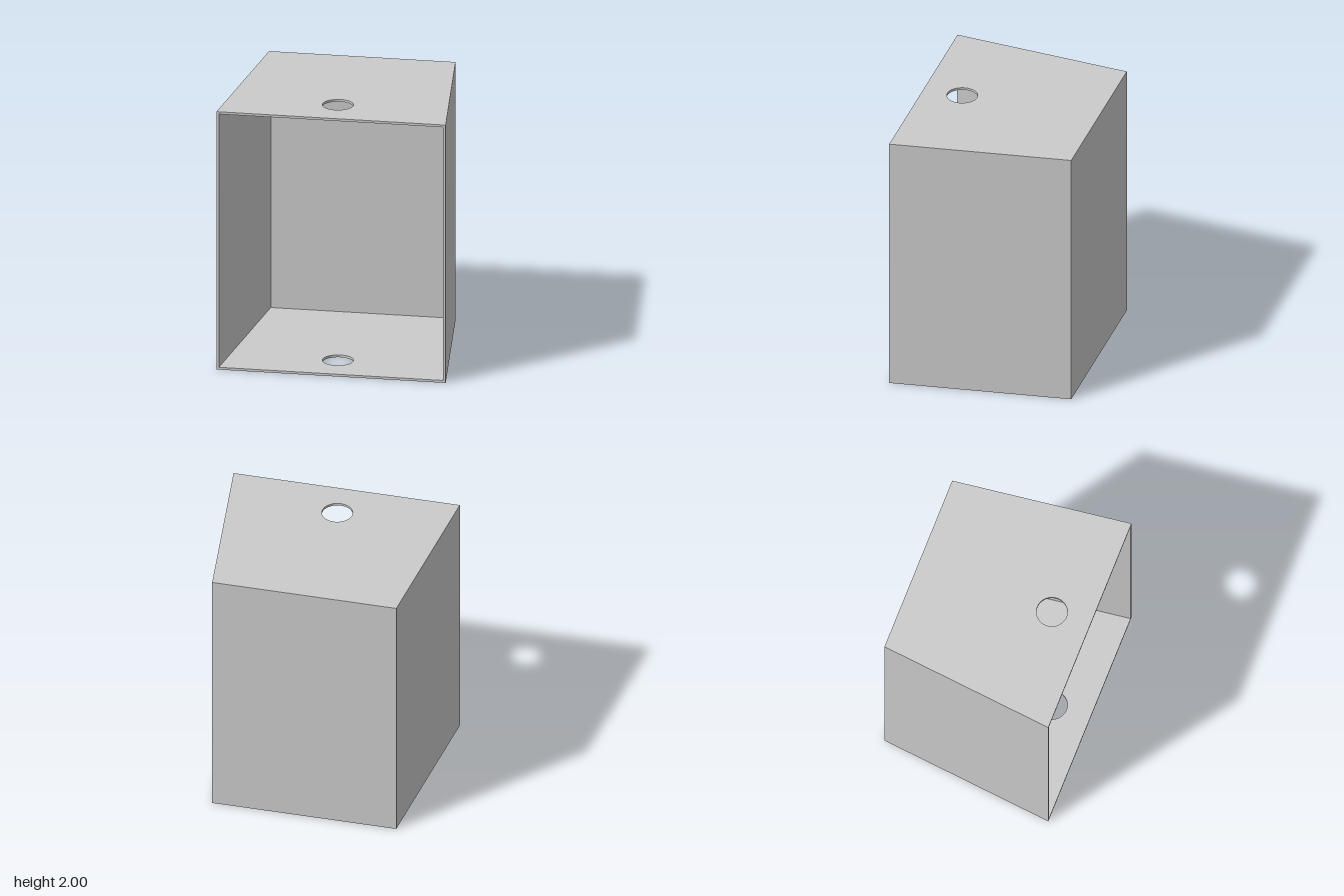
import * as THREE from 'three';

const HEIGHT = 2, WALL = 0.018;
const FRONT_Z = 0.67, BACK_Z = -0.67;
const FRONT_X = 0.848, BACK_X = 0.69;
const HOLE_Z = 0.373, HOLE_R = 0.113;

// Half width of the tapered plan at depth z
const halfWidth = (z) =>
  THREE.MathUtils.mapLinear(z, BACK_Z, FRONT_Z, BACK_X, FRONT_X);

// Extrude a plan (x, z) upwards from y = bottom
function slab(name, plan, bottom, height, material) {
  const geometry = new THREE.ExtrudeGeometry(plan, {
    depth: height, bevelEnabled: false, curveSegments: 32,
  });
  geometry.rotateX(Math.PI / 2).translate(0, bottom + height, 0);
  const mesh = new THREE.Mesh(geometry, material);
  mesh.name = name;
  return mesh;
}

const planShape = (points) =>
  new THREE.Shape(points.map(([x, z]) => new THREE.Vector2(x, z)));

export function createModel() {
  const group = new THREE.Group();
  group.name = 'openBox';
  const material = new THREE.MeshStandardMaterial({ color: 0xcccccc });

  // Top and bottom panels, each with a round hole near the open front
  const panel = planShape([
    [-BACK_X, BACK_Z], [BACK_X, BACK_Z], [FRONT_X, FRONT_Z], [-FRONT_X, FRONT_Z],
  ]);
  panel.holes.push(new THREE.Path().absarc(0, HOLE_Z, HOLE_R, 0, Math.PI * 2, true));
  group.add(slab('bottomPanel', panel, 0, WALL, material));
  group.add(slab('topPanel', panel, HEIGHT - WALL, WALL, material));

  // Back and tapered side walls as one U-shaped plan
  const innerBackZ = BACK_Z + WALL;
  const innerBackX = halfWidth(innerBackZ) - WALL;
  const innerFrontX = FRONT_X - WALL;
  const walls = planShape([
    [-BACK_X, BACK_Z], [BACK_X, BACK_Z], [FRONT_X, FRONT_Z], [innerFrontX, FRONT_Z],
    [innerBackX, innerBackZ], [-innerBackX, innerBackZ],
    [-innerFrontX, FRONT_Z], [-FRONT_X, FRONT_Z],
  ]);
  group.add(slab('walls', walls, WALL, HEIGHT - 2 * WALL, material));

  return group;
}
